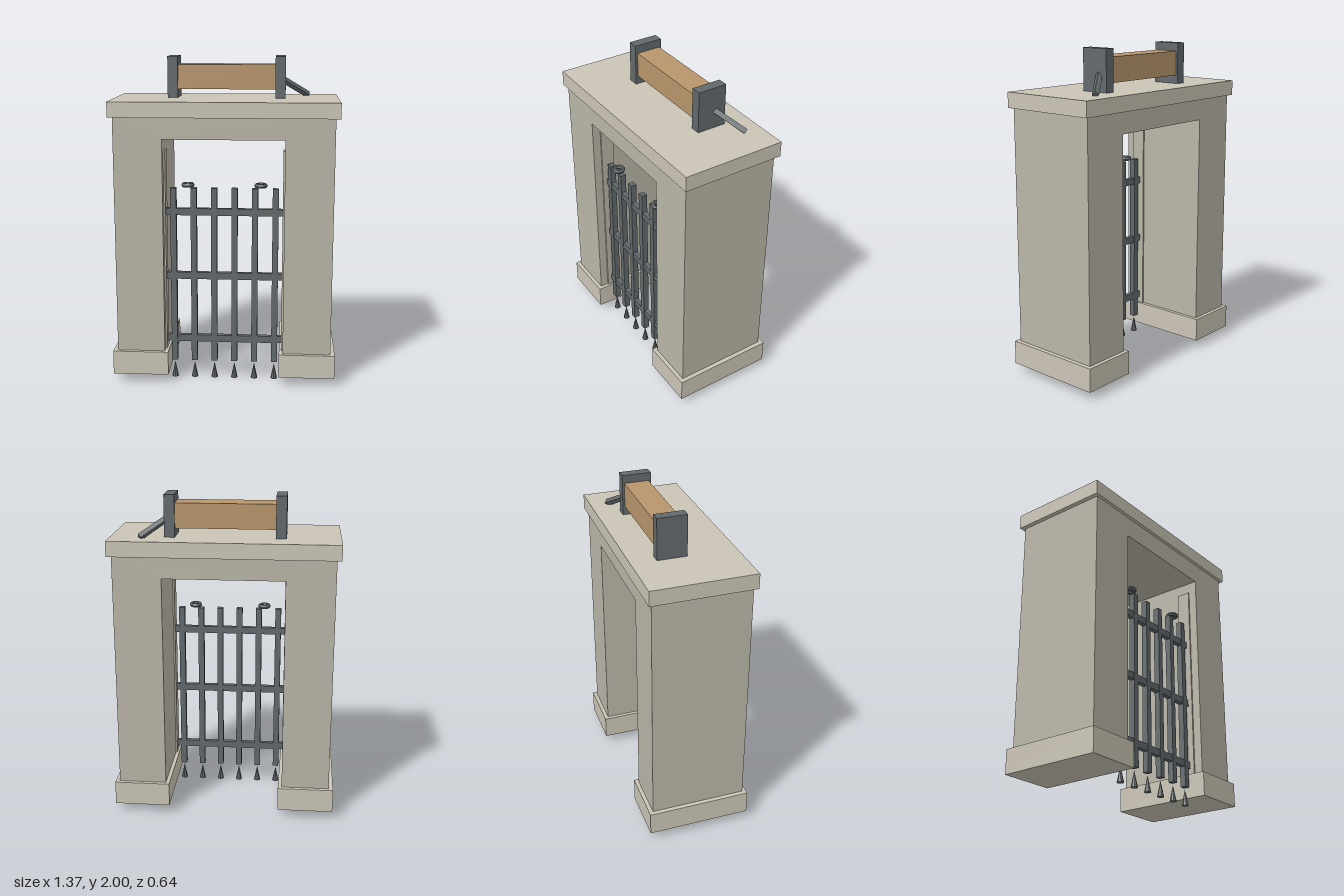
import * as THREE from 'three';

const mat = (color) => new THREE.MeshStandardMaterial({ color, flatShading: true });

export function createModel() {
  const gate = new THREE.Group();
  gate.name = 'castleGate';
  const stone = mat(0xb9b5a7), trim = mat(0xcac5b5), iron = mat(0x62696c), wood = mat(0xb8966c);

  const add = (name, geometry, material, x, y, z, parent = gate) => {
    const mesh = new THREE.Mesh(geometry, material);
    mesh.name = name;
    mesh.position.set(x, y, z);
    parent.add(mesh);
    return mesh;
  };
  // Box given by its lower and upper corners
  const box = (name, material, [x0, y0, z0], [x1, y1, z1], parent) =>
    add(name, new THREE.BoxGeometry(x1 - x0, y1 - y0, z1 - z0), material,
      (x0 + x1) / 2, (y0 + y1) / 2, (z0 + z1) / 2, parent);

  // Pillars and lintel as one extruded doorway
  const outline = [[-0.66, 0.2], [-0.366, 0.2], [-0.366, 1.525], [0.366, 1.525],
    [0.366, 0.2], [0.66, 0.2], [0.66, 1.655], [-0.66, 1.655]];
  const doorway = new THREE.Shape(outline.map(([x, y]) => new THREE.Vector2(x, y)));
  add('doorway', new THREE.ExtrudeGeometry(doorway, { depth: 0.59, bevelEnabled: false }), stone, 0, 0, -0.295);
  box('capSlab', trim, [-0.687, 1.655, -0.316], [0.687, 1.748, 0.314]);

  // Pillar bases and the guide rails of the grille
  for (const s of [-1, 1]) {
    const side = s > 0 ? 'left' : 'right';
    add(side + 'PillarBase', new THREE.BoxGeometry(0.344, 0.148, 0.638), trim, s * 0.515, 0.126, 0);
    add(side + 'GuideRail', new THREE.BoxGeometry(0.02, 1.253, 0.085), stone, s * 0.366, 0.827, 0.2);
  }

  // Iron grille
  const grille = new THREE.Group();
  grille.name = 'grille';
  grille.position.z = 0.2;
  gate.add(grille);
  for (let i = 0; i < 6; i++) {
    const x = -0.3125 + i * 0.125;
    add('verticalBar', new THREE.BoxGeometry(0.037, 1.105, 0.037), iron, x, 0.667, 0, grille);
    add('spike', new THREE.ConeGeometry(0.021, 0.1, 8), iron, x, 0.05, 0, grille);
  }
  for (const y of [0.26, 0.668, 1.072]) {
    add('crossBar', new THREE.BoxGeometry(0.714, 0.043, 0.03), iron, 0, y, 0, grille);
  }
  for (const x of [-0.222, 0.222]) {
    const ring = new THREE.TorusGeometry(0.027, 0.014, 6, 10).rotateX(Math.PI / 2);
    add('liftingRing', ring, iron, x, 1.238, 0, grille);
  }

  // Winch on the roof
  const winch = new THREE.Group();
  winch.name = 'winch';
  gate.add(winch);
  box('winchBeam', wood, [-0.302, 1.8, -0.152], [0.3, 1.95, 0], winch);
  for (const s of [-1, 1]) {
    add('winchPost', new THREE.BoxGeometry(0.063, 0.252, 0.18), iron, s * 0.331, 1.874, -0.075, winch);
  }

  // Slanted crank handle
  const from = new THREE.Vector3(0.335, 1.862, -0.088), to = new THREE.Vector3(0.502, 1.755, -0.21);
  const dir = to.clone().sub(from), mid = from.clone().add(to).multiplyScalar(0.5);
  const crank = add('crankHandle', new THREE.BoxGeometry(0.03, dir.length(), 0.03), iron, mid.x, mid.y, mid.z, winch);
  crank.quaternion.setFromUnitVectors(new THREE.Vector3(0, 1, 0), dir.normalize());

  return gate;
}
